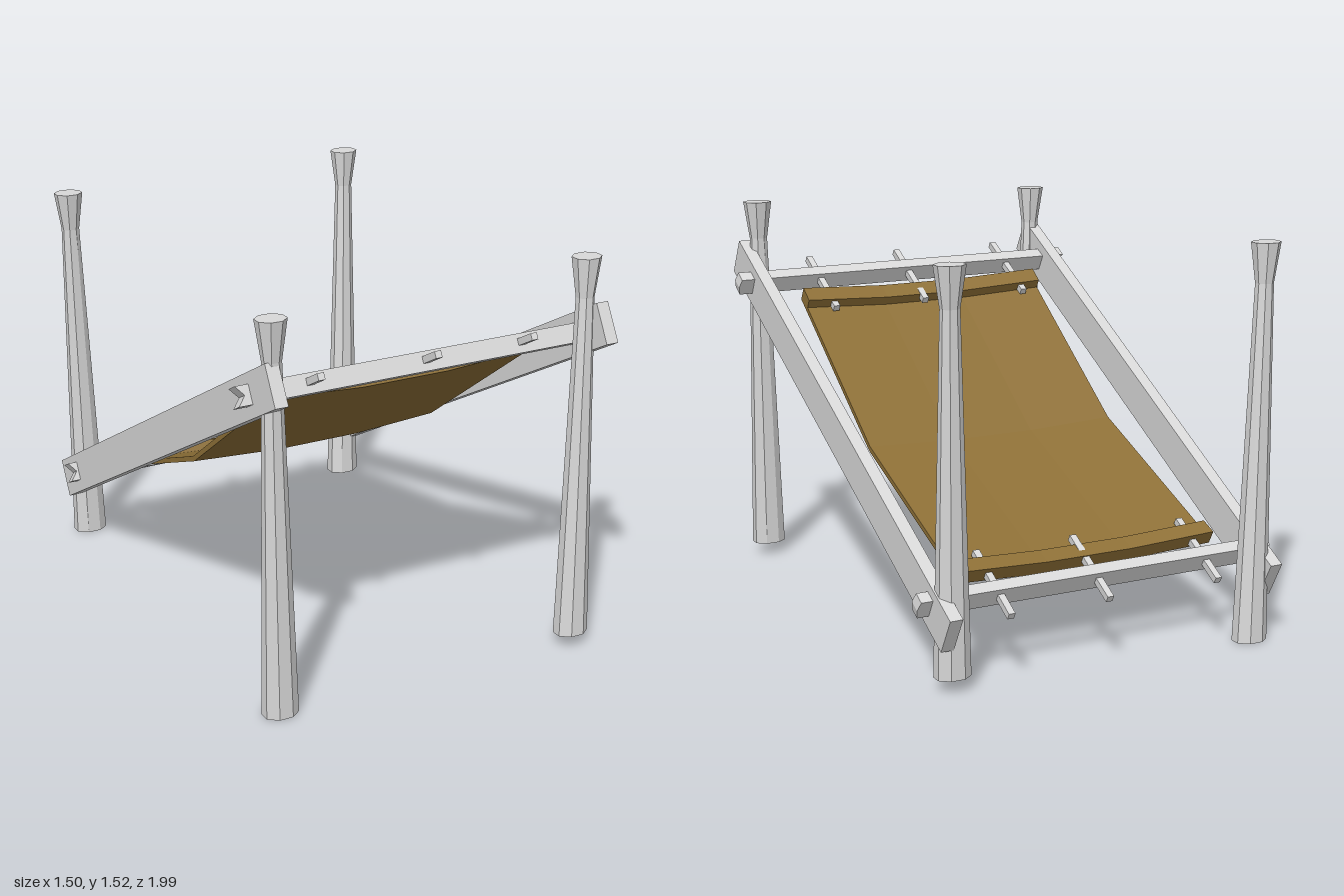
import * as THREE from 'three';

const wood = new THREE.MeshStandardMaterial({ color: 0xd8d8d8, flatShading: true });
wood.name = 'pale wood';
const leather = new THREE.MeshStandardMaterial({ color: 0x8e7037, flatShading: true });
leather.name = 'tan hide';

function addMesh(parent, name, geometry, material, x = 0, y = 0, z = 0) {
  const mesh = new THREE.Mesh(geometry, material);
  mesh.name = name;
  mesh.position.set(x, y, z);
  parent.add(mesh);
  return mesh;
}

// Move every vertex of a geometry by a rule
function warp(geometry, rule) {
  const p = geometry.attributes.position;
  const v = new THREE.Vector3();
  for (let i = 0; i < p.count; i++) {
    rule(v.fromBufferAttribute(p, i));
    p.setXYZ(i, v.x, v.y, v.z);
  }
  geometry.computeVertexNormals();
  return geometry;
}

// Leaning post: tapers to a neck, flares at the top, open underneath
function postGeometry(base, top) {
  const h = top.y - base.y;
  const profile = [[0.07, 0], [0.036, h - 0.15], [0.058, h], [0, h]]
    .map(([r, y]) => new THREE.Vector2(r, y));
  const geometry = new THREE.LatheGeometry(profile, 8, Math.PI / 8);
  return warp(geometry, v => {
    const t = v.y / h;
    v.z *= 0.76 + 0.1 * t;
    v.x += base.x + (top.x - base.x) * t;
    v.z += base.z + (top.z - base.z) * t;
    v.y += base.y;
  });
}

// Cross bar: chevron-cut ends, notched on one side and pointed on the other
function barGeometry(x0, x1, height, depth) {
  const h = height / 2;
  const shape = new THREE.Shape([
    [x0, -h], [x1, -h], [x1 + 0.008, 0], [x1, h], [x0, h], [x0 + 0.03, 0],
  ].map(([x, y]) => new THREE.Vector2(x, y)));
  return new THREE.ExtrudeGeometry(shape, { depth, bevelEnabled: false })
    .translate(0, 0, -depth / 2);
}

// Hide sags across its width and down to a fold at mid length
const HIDE = { x: -0.025, z: -0.03, width: 1.06, length: 1.64 };
function sagBox(height, length, y, z, lengthSegments) {
  const geometry = new THREE.BoxGeometry(HIDE.width, height, length, 3, 1, lengthSegments);
  geometry.translate(HIDE.x, y, z);
  return warp(geometry, v => {
    const across = Math.abs(v.x - HIDE.x) < HIDE.width / 4 ? 0.02 : 0;
    const along = 1 - Math.abs(v.z - HIDE.z) / (HIDE.length / 2);
    v.y -= across + 0.1 * along;
  });
}

export function createModel() {
  const model = new THREE.Group();
  model.name = 'hideDryingRack';

  // Four posts: the back pair repeats the front pair
  const V = (x, y, z) => new THREE.Vector3(x, y, z);
  for (const [end, dz] of [['front', 0], ['back', -1.79]]) {
    addMesh(model, end + 'RightPost',
      postGeometry(V(-0.625, 0, 0.87 + dz), V(-0.665, 1.5, 0.9 + dz)), wood);
    addMesh(model, end + 'LeftPost',
      postGeometry(V(0.59, 0.05, 0.925 + dz), V(0.622, 1.518, 0.866 + dz)), wood);
  }

  // Sloping frame, high at the front: local z runs up the slope
  const frame = new THREE.Group();
  frame.name = 'slopingFrame';
  frame.position.y = 0.76;
  frame.rotation.x = -0.503;
  model.add(frame);

  // Side planks, slightly out of parallel
  for (const [name, x, yaw] of [['rightPlank', -0.68, 0.007], ['leftPlank', 0.648, 0.0125]]) {
    addMesh(frame, name, new THREE.BoxGeometry(0.05, 0.155, 2.18), wood, x).rotation.y = yaw;
  }

  // Cross bars
  addMesh(frame, 'frontBar', barGeometry(-0.75, 0.738, 0.072, 0.052), wood, 0, 0.003, 0.904);
  addMesh(frame, 'backBar', barGeometry(-0.75, 0.706, 0.076, 0.048), wood, 0, 0.006, -0.935);

  // Pegs tying the hide to the bars
  for (const x of [-0.472, -0.01, 0.39]) {
    addMesh(frame, 'frontPeg', new THREE.BoxGeometry(0.026, 0.026, 0.335), wood, x, 0.008, 0.856);
    addMesh(frame, 'backPeg', new THREE.BoxGeometry(0.026, 0.026, 0.32), wood, x, 0.008, -0.895);
  }

  // Hide with folded hems at both ends
  addMesh(frame, 'hide', sagBox(0.02, HIDE.length, -0.003, HIDE.z, 2), leather);
  addMesh(frame, 'frontHem', sagBox(0.058, 0.07, 0.016, 0.755, 1), leather);
  addMesh(frame, 'backHem', sagBox(0.058, 0.07, 0.016, -0.815, 1), leather);

  return model;
}
